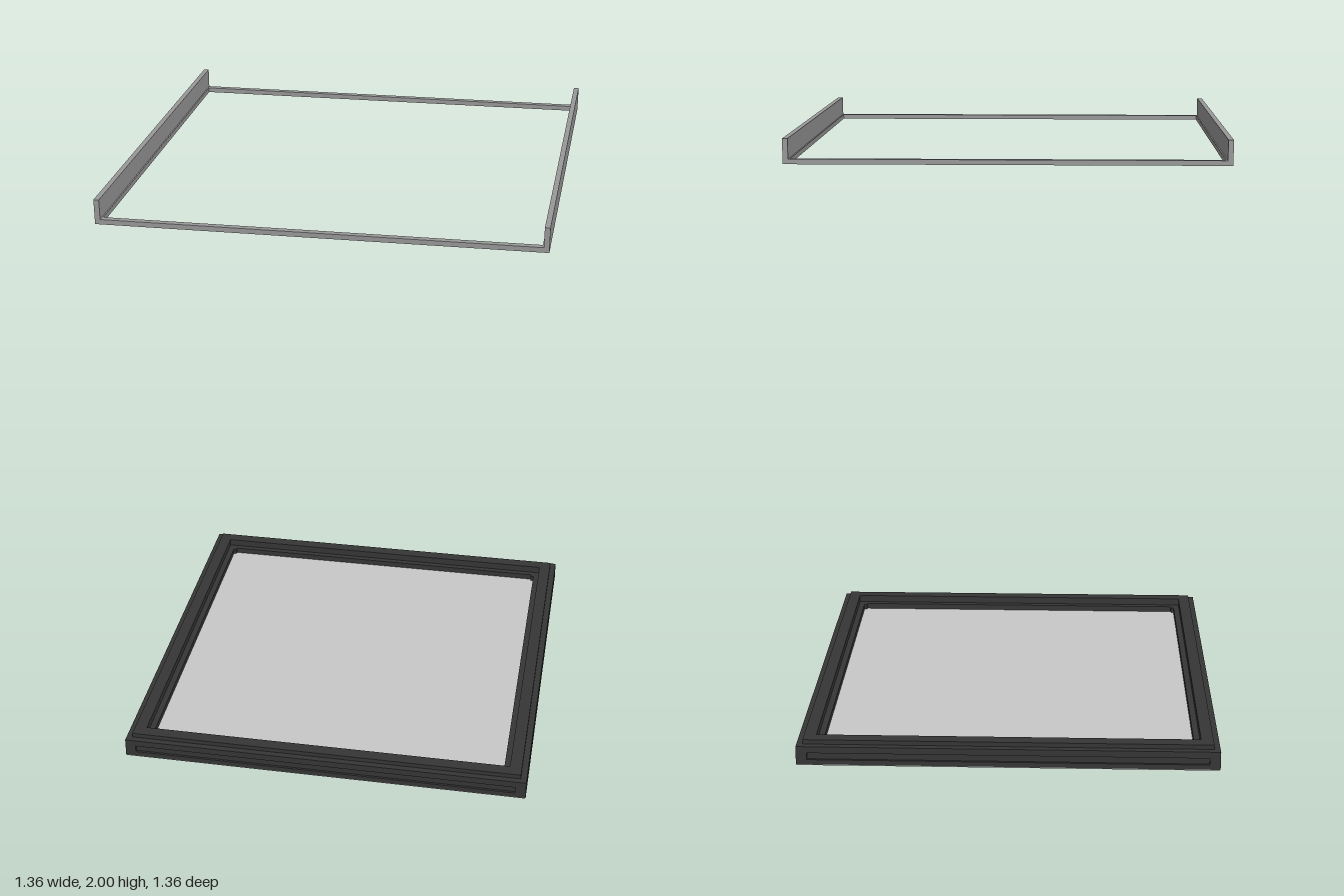
import * as THREE from 'three';

const mat = (name, color) => {
  const m = new THREE.MeshStandardMaterial({ color });
  m.name = name;
  return m;
};

// Square outline of half size r, with corners cut by c
function outline(Type, r, c = 0) {
  const pts = c
    ? [[r, r - c], [r - c, r], [c - r, r], [-r, r - c], [-r, c - r], [c - r, -r], [r - c, -r], [r, c - r]]
    : [[r, r], [-r, r], [-r, -r], [r, -r]];
  return new Type(pts.map(([x, y]) => new THREE.Vector2(x, y)));
}

// Flat square ring lying between heights y0 and y1
function ring(name, material, outer, inner, y0, y1, cut = 0) {
  const shape = outline(THREE.Shape, outer);
  if (inner) shape.holes.push(outline(THREE.Path, inner, cut));
  const geo = new THREE.ExtrudeGeometry(shape, { depth: y1 - y0, bevelEnabled: false });
  geo.rotateX(-Math.PI / 2).translate(0, y0, 0);
  const mesh = new THREE.Mesh(geo, material);
  mesh.name = name;
  return mesh;
}

// Box given by its limits on each axis
function box(name, material, x0, x1, y0, y1, z0, z1) {
  const mesh = new THREE.Mesh(new THREE.BoxGeometry(x1 - x0, y1 - y0, z1 - z0), material);
  mesh.position.set((x0 + x1) / 2, (y0 + y1) / 2, (z0 + z1) / 2);
  mesh.name = name;
  return mesh;
}

export function createModel() {
  const charcoal = mat('charcoal', 0x363636);
  const steel = mat('steel grey', 0x999999);
  const pale = mat('pale grey', 0xc8c8c8);
  const model = new THREE.Group();
  model.name = 'framedTray';

  // Stepped dark frame, with a shallow groove along each outer side
  const frame = new THREE.Group();
  frame.name = 'baseFrame';
  frame.add(
    ring('lowerRim', charcoal, 0.68, 0.6, 0.004, 0.02),
    ring('grooveCore', charcoal, 0.673, 0.6, 0.02, 0.043),
    ring('upperRim', charcoal, 0.68, 0.6, 0.043, 0.055),
    ring('outerStep', charcoal, 0.68, 0.62, 0.055, 0.065),
    ring('topStep', charcoal, 0.66, 0.62, 0.065, 0.08),
  );
  for (const sx of [-1, 1]) {
    for (const sz of [-1, 1]) {
      const post = box('cornerPost', charcoal, -0.0175, 0.0175, 0.02, 0.043, -0.0175, 0.0175);
      post.position.x = sx * 0.6625;
      post.position.z = sz * 0.6625;
      const bracket = box('innerCorner', charcoal, -0.006, 0.006, 0.004, 0.055, -0.006, 0.006);
      bracket.position.x = sx * 0.596;
      bracket.position.z = sz * 0.596;
      frame.add(post, bracket);
    }
  }
  model.add(frame);

  // Pale floor panel and the grey border beneath the frame
  model.add(ring('floorPanel', pale, 0.6, 0, 0.002, 0.035));
  model.add(ring('undersideBorder', steel, 0.678, 0.6, 0, 0.004, 0.03));

  // Raised rail: thin square ring with an upright wall on either side
  const rail = new THREE.Group();
  rail.name = 'upperRail';
  rail.add(ring('railRing', steel, 0.66, 0.64, 1.925, 1.94));
  rail.add(box('leftRailWall', steel, 0.644, 0.66, 1.94, 2, -0.66, 0.66));
  rail.add(box('rightRailWall', steel, -0.66, -0.644, 1.94, 2, -0.66, 0.66));
  model.add(rail);

  return model;
}
